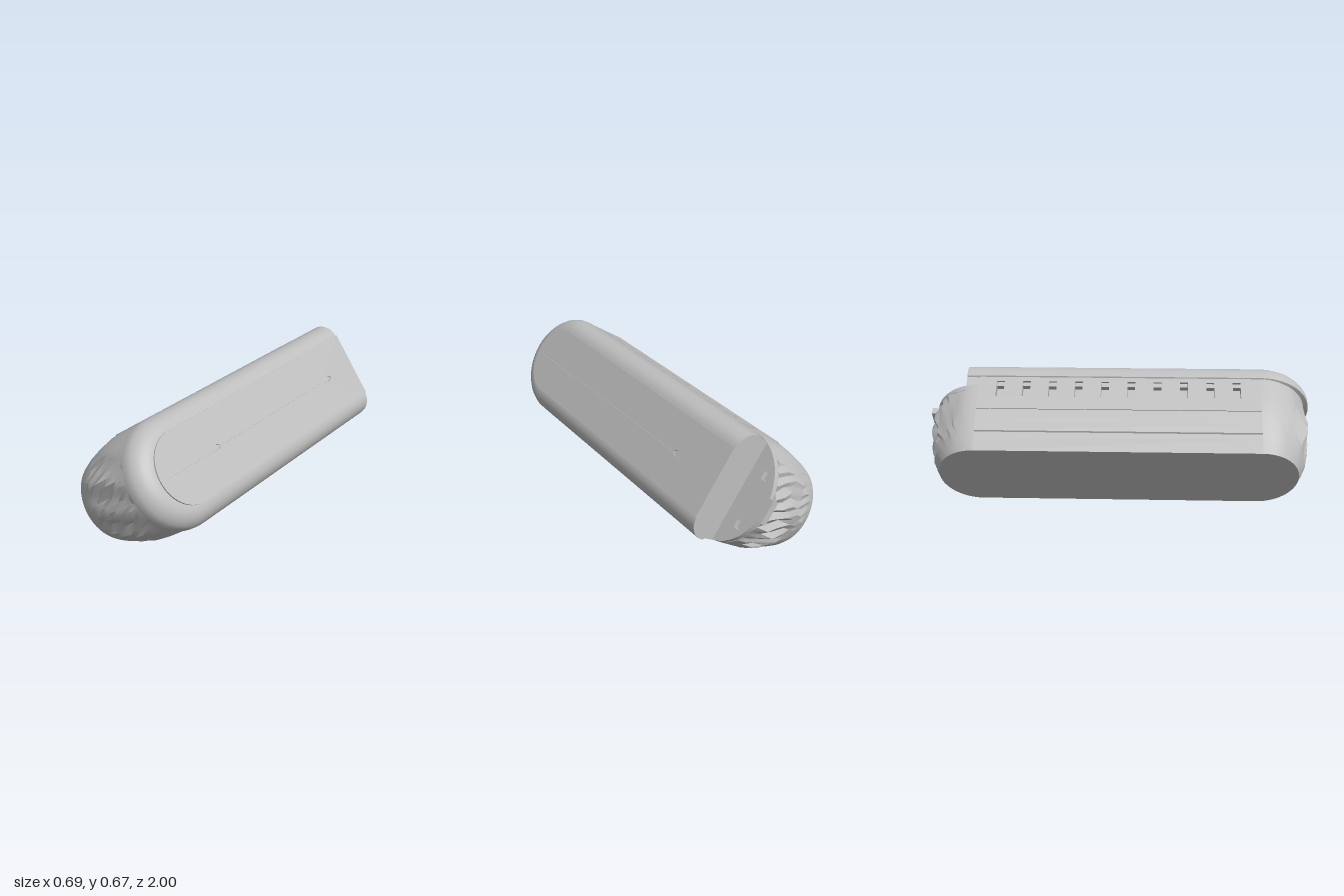
import * as THREE from 'three';
import { toCreasedNormals } from 'three/addons/utils/BufferGeometryUtils.js';

const Z0 = 0.72; // where the straight middle ends and the rounded ends begin

// Half-stadium outline: rounded towards +z, straight back to zBack
function outline(w, len, zBack, n = 28) {
  const pts = [];
  if (zBack < Z0) pts.push([w, zBack]);
  for (let i = 0; i <= n; i++) {
    const a = (i / n) * Math.PI;
    pts.push([w * Math.cos(a), Z0 + len * Math.sin(a)]);
  }
  if (zBack < Z0) pts.push([-w, zBack]);
  return pts;
}

// Stack of outlines; each level is [height, half width, end length]
function loft(levels, zBack, rough = 0) {
  const pos = [], idx = [];
  const rings = levels.map(([, w, len]) => outline(w, len, zBack));
  const n = rings[0].length;
  rings.forEach((ring, j) => ring.forEach(([x, z], i) => {
    const y = levels[j][0];
    const fade = Math.max(0, (z - Z0) / 0.25) * Math.max(0, Math.sin((y - 0.03) / 0.41 * Math.PI));
    const dent = rough * fade * Math.sin(i * 2.1 + j * 4.7) * Math.sin(i * 0.9 - j * 2.3);
    pos.push(x, y, z + dent);
  }));
  for (let j = 0; j < levels.length - 1; j++) {
    for (let i = 0; i < n; i++) {
      const a = j * n + i, b = j * n + (i + 1) % n;
      idx.push(a, a + n, b + n, a, b + n, b);
    }
  }
  const last = (levels.length - 1) * n, c = pos.length / 3;
  pos.push(0, levels[0][0], Z0, 0, levels[levels.length - 1][0], Z0);
  for (let i = 0; i < n; i++) {
    const k = (i + 1) % n;
    idx.push(c, i, k, c + 1, last + k, last + i);
  }
  const g = new THREE.BufferGeometry();
  g.setAttribute('position', new THREE.Float32BufferAttribute(pos, 3));
  g.setIndex(idx);
  return toCreasedNormals(g, 0.5);
}

const polygon = (pts, Type = THREE.Shape) => new Type(pts.map(([x, y]) => new THREE.Vector2(x, y)));
const rect = (cx, cy, w, h) => polygon([
  [cx - w / 2, cy - h / 2], [cx - w / 2, cy + h / 2], [cx + w / 2, cy + h / 2], [cx + w / 2, cy - h / 2],
], THREE.Path);

function extrude(shape, depth) {
  return new THREE.ExtrudeGeometry(shape, { depth, bevelEnabled: false, curveSegments: 20 });
}

export function createModel() {
  const model = new THREE.Group();
  const grey = new THREE.MeshStandardMaterial({ color: 0xbebebe });
  grey.name = 'plain grey';

  // The whole body lies tilted, resting on one lower edge
  const body = new THREE.Group();
  body.name = 'tiltedBody';
  body.rotation.z = -0.961;
  body.position.set(-0.222, 0.176, 0);
  model.add(body);

  const add = (name, geometry) => {
    const mesh = new THREE.Mesh(geometry, grey);
    mesh.name = name;
    body.add(mesh);
    return mesh;
  };

  // Straight middle with a recess for each side panel and a thin groove on one side
  const side = [
    [0.214, 0], [0.237, 0.07], [0.257, 0.15], [0.27, 0.22],
    [0.238, 0.22], [0.238, 0.42], [0.27, 0.42], [0.266, 0.46],
  ];
  const otherSide = side.map(([x, y]) => [-x, y]);
  otherSide.splice(2, 0, [-0.244, 0.095], [-0.234, 0.098], [-0.246, 0.103]);
  const middle = extrude(polygon([...side, ...otherSide.reverse()]), Z0 * 2);
  middle.translate(0, 0, -Z0);
  add('middleBody', toCreasedNormals(middle, 0.4));

  // Rounded ends, lightly dented
  const endLevels = [
    [0, 0.214, 0.2], [0.035, 0.226, 0.218], [0.07, 0.237, 0.229], [0.11, 0.247, 0.238],
    [0.15, 0.257, 0.244], [0.22, 0.27, 0.25], [0.285, 0.273, 0.252], [0.35, 0.272, 0.252],
  ];
  add('frontEnd', loft([...endLevels, [0.4, 0.27, 0.25], [0.45, 0.268, 0.25]], Z0, 0.028));
  const rear = loft(endLevels, Z0, 0.028);
  rear.rotateY(Math.PI);
  add('rearEnd', rear);

  // Rear deck with two square sockets, and a small lip at its edge
  const deckShape = polygon(outline(0.272, 0.252, Z0));
  for (const x of [-0.128, 0.128]) deckShape.holes.push(rect(x, 0.88, 0.04, 0.035));
  const deck = extrude(deckShape, 0.028);
  deck.rotateX(Math.PI / 2);
  deck.rotateY(Math.PI);
  deck.translate(0, 0.377, 0);
  add('rearDeck', toCreasedNormals(deck, 0.4));
  add('rearLip', new THREE.BoxGeometry(0.12, 0.035, 0.06)).position.set(0, 0.367, -0.97);

  // Side panels with slots; one also has a round hole
  const panel = (name, direction, slots, round) => {
    const shape = polygon([[-Z0, 0.22], [Z0, 0.22], [Z0, 0.42], [-Z0, 0.42]]);
    for (const z of slots) shape.holes.push(rect(z, 0.35, 0.04, 0.1));
    if (round) shape.holes.push(new THREE.Path().absarc(0, 0.34, 0.062, 0, Math.PI * 2, true));
    const g = extrude(shape, 0.036);
    g.rotateY(direction * Math.PI / 2);
    g.translate(direction * 0.238, 0, 0);
    add(name, g);
  };
  panel('lowerSidePanel', 1, [-0.605, -0.47, -0.335, -0.2, 0.2, 0.335, 0.47, 0.605], true);
  panel('upperSidePanel', -1, Array.from({ length: 10 }, (_, i) => -0.61 + i * 0.1345), false);

  // Rounded cover, cut off flat at the rear
  add('cover', loft([
    [0.377, 0.262, 0.245], [0.43, 0.266, 0.255], [0.435, 0.275, 0.279], [0.465, 0.274, 0.28],
    [0.49, 0.266, 0.272], [0.512, 0.251, 0.256], [0.53, 0.232, 0.237],
    [0.54, 0.212, 0.215], [0.546, 0.19, 0.192],
  ], -0.79));

  // Top face of the cover with a narrow lengthwise groove
  const topShape = polygon(outline(0.182, 0.184, -0.79));
  const half = [[0.003, 0.86], [0.012, 0.52], [0.012, 0.48], [0.003, 0.46],
    [0.003, -0.46], [0.014, -0.48], [0.014, -0.53], [0.003, -0.56]];
  topShape.holes.push(polygon([...half, ...half.map(([x, z]) => [-x, z]).reverse()], THREE.Path));
  const top = extrude(topShape, 0.008);
  top.rotateX(Math.PI / 2);
  top.translate(0, 0.553, 0);
  add('coverTop', toCreasedNormals(top, 0.4));

  return model;
}
